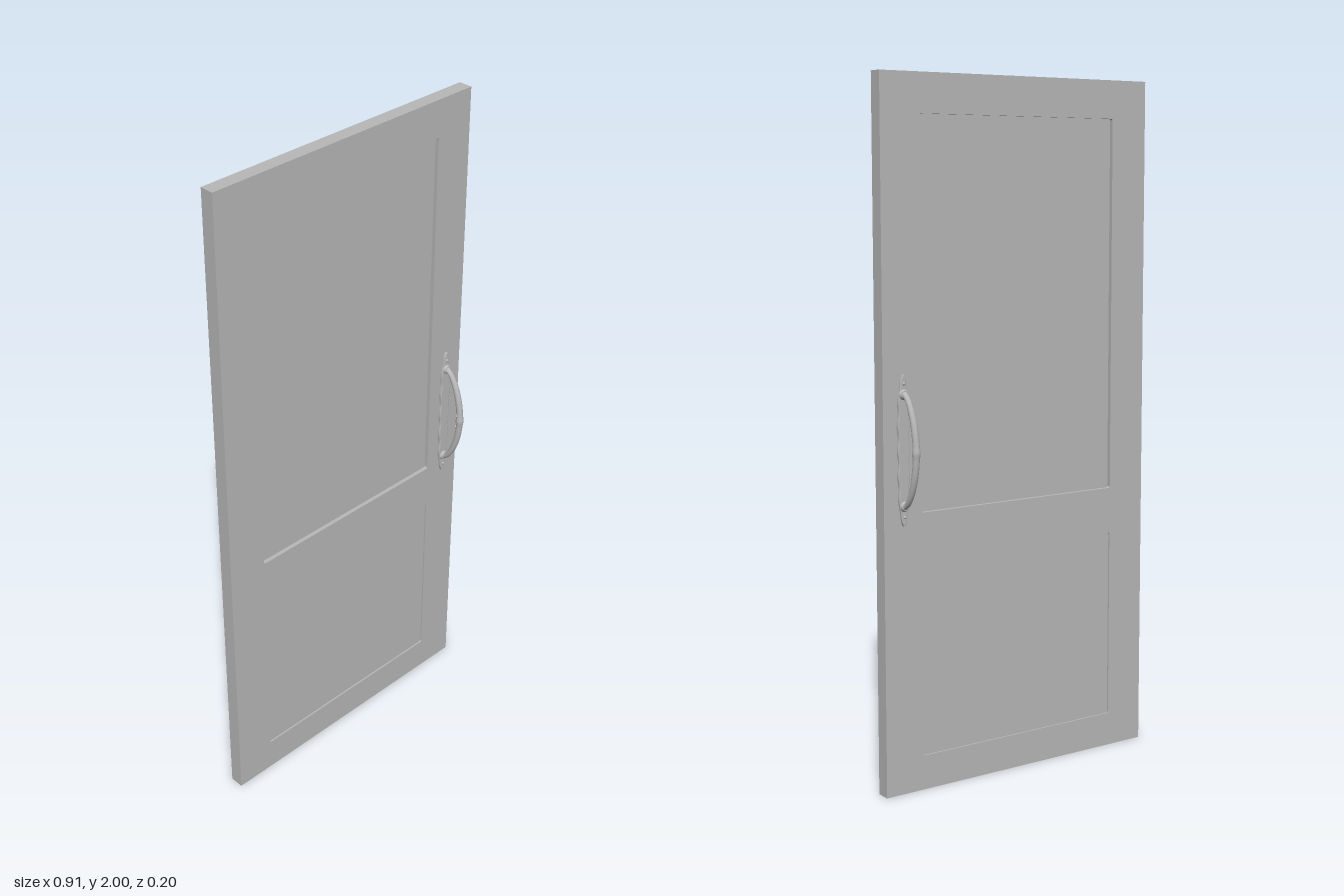
import * as THREE from 'three';

const HALF_W = 0.457, HEIGHT = 2, HALF_T = 0.021;
const PANEL_X = 0.335;
const UPPER = [0.80, 1.89], LOWER = [0.10, 0.663];
const HANDLE_X = 0.395, HANDLE_Y = 0.98;

// Rounded rectangle path, used for the panel openings
function roundedRect(path, x0, y0, x1, y1, r) {
  path.moveTo(x0 + r, y0);
  path.lineTo(x1 - r, y0);
  path.quadraticCurveTo(x1, y0, x1, y0 + r);
  path.lineTo(x1, y1 - r);
  path.quadraticCurveTo(x1, y1, x1 - r, y1);
  path.lineTo(x0 + r, y1);
  path.quadraticCurveTo(x0, y1, x0, y1 - r);
  path.lineTo(x0, y0 + r);
  path.quadraticCurveTo(x0, y0, x0 + r, y0);
  return path;
}

function add(parent, name, geometry, material) {
  const mesh = new THREE.Mesh(geometry, material);
  mesh.name = name;
  parent.add(mesh);
  return mesh;
}

// Backplate with gently scalloped sides and pointed ends
function plateGeometry() {
  const half = 0.207, n = 48, right = [], left = [];
  for (let i = 0; i <= n; i++) {
    const t = -1 + (2 * i) / n;
    const taper = Math.pow(Math.max(0, 1 - Math.pow(Math.abs(t), 4)), 0.8);
    const w = 0.001 + taper * (0.0135 + 0.0018 * Math.cos(t * Math.PI * 6));
    right.push(new THREE.Vector2(w, t * half));
    left.unshift(new THREE.Vector2(-w, t * half));
  }
  return new THREE.ExtrudeGeometry(new THREE.Shape([...right, ...left]), {
    depth: 0.005, bevelEnabled: true, bevelThickness: 0.003, bevelSize: 0.003, bevelSegments: 2,
  });
}

// Bowed grip: a tube whose rings swell at the middle and at the feet
function gripGeometry() {
  const half = [[0.158, 0.003], [0.148, 0.022], [0.125, 0.039], [0.07, 0.060]];
  const pts = [
    ...half.map(([y, z]) => new THREE.Vector3(0, y, z)),
    new THREE.Vector3(0, 0, 0.069),
    ...half.slice().reverse().map(([y, z]) => new THREE.Vector3(0, -y, z)),
  ];
  const curve = new THREE.CatmullRomCurve3(pts);
  const segs = 64, sides = 16;
  const geo = new THREE.TubeGeometry(curve, segs, 1, sides, false);
  const pos = geo.attributes.position, v = new THREE.Vector3();
  for (let i = 0; i <= segs; i++) {
    const c = curve.getPointAt(i / segs);
    const t = Math.abs((2 * i) / segs - 1);
    const r = 0.0075 + 0.0025 * (1 - t * t)
      + 0.002 * Math.exp(-Math.pow(t / 0.06, 2))
      + 0.004 * Math.exp(-Math.pow((1 - t) / 0.06, 2));
    for (let j = 0; j <= sides; j++) {
      const k = i * (sides + 1) + j;
      v.fromBufferAttribute(pos, k).sub(c).multiplyScalar(r).add(c);
      pos.setXYZ(k, v.x, v.y, v.z);
    }
  }
  geo.computeVertexNormals();
  return geo;
}

export function createModel() {
  const model = new THREE.Group();
  model.name = 'door';
  const grey = new THREE.MeshStandardMaterial({ color: 0xb8b8b8 });
  grey.name = 'grey';

  // Stiles and rails in one piece with two openings
  const outline = new THREE.Shape();
  outline.moveTo(-HALF_W, 0);
  outline.lineTo(HALF_W, 0);
  outline.lineTo(HALF_W, HEIGHT);
  outline.lineTo(-HALF_W, HEIGHT);
  outline.closePath();
  for (const [y0, y1] of [UPPER, LOWER]) {
    outline.holes.push(roundedRect(new THREE.Path(), -PANEL_X, y0, PANEL_X, y1, 0.006));
  }
  const frame = new THREE.ExtrudeGeometry(outline, {
    depth: HALF_T * 2, bevelEnabled: false, curveSegments: 4,
  });
  add(model, 'doorFrame', frame, grey).position.z = -HALF_T;

  // Recessed panels
  const panels = [['upperPanel', UPPER, 0.012], ['lowerPanel', LOWER, 0.005]];
  for (const [name, [y0, y1], recess] of panels) {
    const box = new THREE.BoxGeometry(PANEL_X * 2 + 0.004, y1 - y0 + 0.004, 2 * (HALF_T - recess));
    add(model, name, box, grey).position.y = (y0 + y1) / 2;
  }

  // Matching pull handles on both faces
  const plate = plateGeometry(), grip = gripGeometry();
  const collar = new THREE.CylinderGeometry(0.011, 0.015, 0.007, 20).rotateX(Math.PI / 2);
  const screw = new THREE.SphereGeometry(0.005, 12, 6, 0, Math.PI * 2, 0, Math.PI / 2).rotateX(Math.PI / 2);
  for (const side of [1, -1]) {
    const handle = new THREE.Group();
    handle.name = side > 0 ? 'frontHandle' : 'backHandle';
    handle.position.set(HANDLE_X, HANDLE_Y, side * HALF_T);
    if (side < 0) handle.rotation.y = Math.PI;
    add(handle, 'backplate', plate, grey);
    add(handle, 'grip', grip, grey);
    for (const end of [1, -1]) {
      add(handle, 'gripCollar', collar, grey).position.set(0, end * 0.155, 0.011);
      add(handle, 'screwHead', screw, grey).position.set(0, end * 0.185, 0.0075);
    }
    model.add(handle);
  }
  return model;
}
